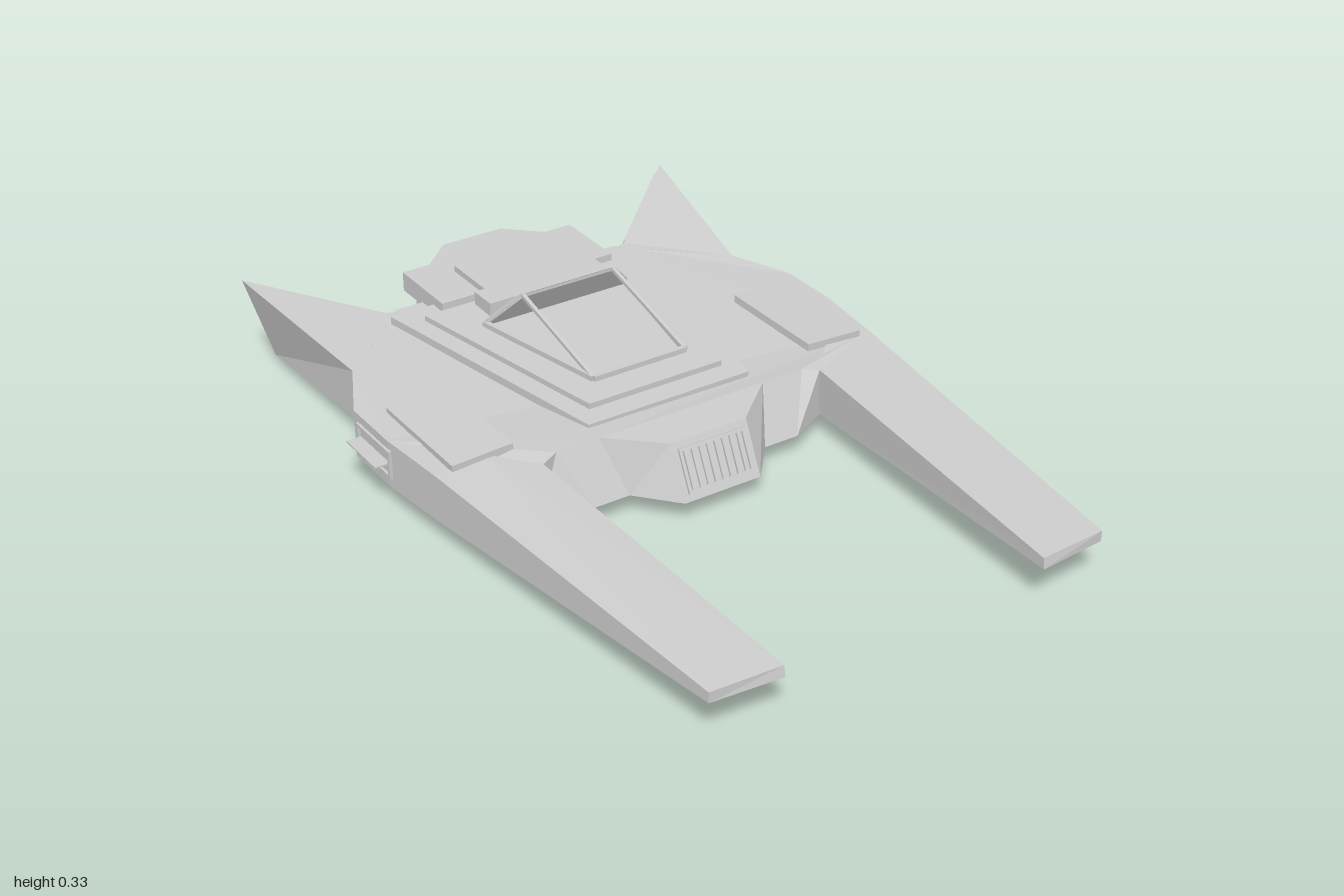
import * as THREE from 'three';

const material = new THREE.MeshStandardMaterial({ color: 0xcccccc, flatShading: true, side: THREE.DoubleSide });
const V = (p) => new THREE.Vector3(...p);

// Solid between a top and a bottom loop of [x, y, z] points
function prism(top, bottom) {
  const flat = (loop) => loop.map(([x, , z]) => new THREE.Vector2(x, -z));
  if (THREE.ShapeUtils.isClockWise(flat(top))) {
    top = [...top].reverse();
    bottom = [...bottom].reverse();
  }
  const out = [];
  for (const [a, b, c] of THREE.ShapeUtils.triangulateShape(flat(top), [])) out.push(top[a], top[b], top[c]);
  for (const [a, b, c] of THREE.ShapeUtils.triangulateShape(flat(bottom), [])) out.push(bottom[a], bottom[c], bottom[b]);
  top.forEach((t, i) => {
    const j = (i + 1) % top.length;
    out.push(bottom[i], bottom[j], top[j], bottom[i], top[j], t);
  });
  const geo = new THREE.BufferGeometry();
  geo.setAttribute('position', new THREE.Float32BufferAttribute(out.flat(), 3));
  geo.computeVertexNormals();
  return geo;
}

const flip = (loop) => loop.map(([x, y, z]) => [-x, y, z]);
const whole = (half) => [...half, ...flip(half).reverse()];

// Symmetric plate from half an outline of [x, z]; heights may vary with z
function slab(half, yTop, yBottom) {
  const at = (y, z) => (typeof y === 'function' ? y(z) : y);
  const loop = (y) => whole(half.map(([x, z]) => [x, at(y, z), z]));
  return prism(loop(yTop), loop(yBottom));
}

export function createModel() {
  const model = new THREE.Group();
  const add = (name, geo, parent = model) => {
    const mesh = new THREE.Mesh(geo, material);
    mesh.name = name;
    parent.add(mesh);
    return mesh;
  };
  const box = (name, size, pos, parent) => {
    const mesh = add(name, new THREE.BoxGeometry(...size), parent);
    mesh.position.set(...pos);
    return mesh;
  };
  // Square bar between two points
  const bar = (name, a, b, t) => {
    const from = V(a), to = V(b);
    const mesh = box(name, [t, t, from.distanceTo(to)], from.clone().lerp(to, 0.5).toArray());
    mesh.lookAt(to);
  };

  // Main hull with a sloping, notched front wall
  const side = [[0.66, 0.19, -0.2], [0.66, 0.19, -0.37], [0.58, 0.2, -0.53], [0.34, 0.205, -0.75]];
  add('hull', prism(
    whole([[0.11, 0.195, 0.195], [0.24, 0.2, 0.085], [0.36, 0.2, 0.085], [0.405, 0.19, 0.1], [0.64, 0.187, 0], ...side]),
    whole([[0.11, 0.06, 0.26], [0.2, 0.06, 0.155], [0.3, 0.06, 0.155], [0.41, 0.06, 0.1], [0.64, 0.063, 0],
      ...side.map(([x, , z]) => [x, 0.062, z])])));

  // Nose grille lying on the sloping front wall
  const grille = new THREE.Group();
  grille.name = 'noseGrille';
  grille.position.set(0, 0.128, 0.228);
  grille.rotation.x = -0.45;
  model.add(grille);
  for (const s of [-1, 1]) {
    box('grilleRail', [0.19, 0.008, 0.012], [0, s * 0.052, 0], grille);
    box('grillePost', [0.008, 0.104, 0.012], [s * 0.091, 0, 0], grille);
  }
  for (let i = 0; i < 8; i++) box('grilleSlat', [0.012, 0.1, 0.012], [-0.077 + i * 0.022, 0, 0], grille);

  for (const s of [1, -1]) {
    const m = (loop) => (s > 0 ? loop : flip(loop));

    // Long tapering front arms
    add('frontArm', prism(
      m([[0.405, 0.19, 0.1], [0.36, 0.14, 0.995], [0.545, 0.14, 0.985], [0.64, 0.187, 0], [0.5, 0.197, 0]]),
      m([[0.41, 0.06, 0.1], [0.36, 0.112, 1], [0.545, 0.112, 0.985], [0.64, 0.063, 0], [0.5, 0.06, 0]])));

    // Flared tail fins with a framed rear face
    const finTop = m([[0.58, 0.2, -0.53], [0.655, 0.275, -1], [0.37, 0.205, -0.75], [0.34, 0.205, -0.74]]);
    const finBottom = m([[0.58, 0.062, -0.53], [0.58, 0.03, -1], [0.36, 0.06, -0.75], [0.34, 0.062, -0.74]]);
    add('tailFin', prism(finTop, finBottom));
    const rear = [finTop[1], finTop[2], finBottom[2], finBottom[1]].map(V);
    const mid = rear.reduce((sum, p) => sum.add(p), new THREE.Vector3()).multiplyScalar(0.25);
    const inner = rear.map((p) => p.clone().lerp(mid, 0.14).toArray());
    inner.forEach((p, i) => bar('finFrame', p, inner[(i + 1) % 4], 0.01));

    // Shoulder pads
    const pad = box('shoulderPad', [0.165, 0.02, 0.325], [s * 0.517, 0.2, -0.15]);
    pad.rotation.z = -s * 0.05;

    // Side vents: frame with a thin blade
    for (const k of [-1, 1]) {
      box('ventRail', [0.014, 0.008, 0.16], [s * 0.66, 0.13 + k * 0.034, -0.265]);
      box('ventPost', [0.014, 0.076, 0.008], [s * 0.66, 0.13, -0.265 + k * 0.08]);
    }
    box('ventBlade', [0.05, 0.004, 0.15], [s * 0.675, 0.13, -0.265]);
  }

  // Stepped deck plates, rising slightly towards the back
  const rise = (y) => (z) => y - z * 0.025;
  add('lowerDeck', slab([[0.235, 0.03], [0.385, -0.69]], rise(0.207), 0.18));
  add('upperDeck', slab([[0.195, -0.03], [0.32, -0.625]], rise(0.222), 0.19));

  // Open canopy: solid back panel and a frame of bars
  const peak = [0.135, 0.325, -0.44], back = [0.215, 0.24, -0.5], front = [0.135, 0.24, -0.105];
  add('canopyBack', prism(
    whole([[0.135, 0.33, -0.434], [0.135, 0.33, -0.446]]),
    whole([[0.22, 0.235, -0.495], [0.22, 0.235, -0.508]])));
  for (const s of [1, -1]) {
    const [p, b, f] = [peak, back, front].map(([x, y, z]) => [s * x, y, z]);
    bar('canopyPillar', p, f, 0.01);
    bar('canopySill', b, f, 0.014);
    bar('canopyCorner', p, b, 0.01);
  }
  bar('canopyRidge', peak, flip([peak])[0], 0.01);
  bar('canopyFrontSill', front, flip([front])[0], 0.014);

  // Rear engine block: cap, core, lower lip and slats
  const cap = [[0.26, -0.64], [0.26, -0.855], [0.18, -0.855], [0.09, -0.94]];
  const core = [[0.235, -0.64], [0.235, -0.835], [0.165, -0.835], [0.08, -0.91]];
  add('engineCap', slab(cap, 0.248, 0.195));
  add('engineCore', slab(core, 0.2, 0.05));
  add('engineLip', slab(cap.map(([x, z]) => [x * 0.97, z + 0.01]), 0.075, 0.04));
  const slatPath = new THREE.CurvePath();
  const path = [[-0.165, -0.845], [-0.085, -0.918], [0.085, -0.918], [0.165, -0.845]];
  for (let i = 0; i < 3; i++) slatPath.add(new THREE.LineCurve(new THREE.Vector2(...path[i]), new THREE.Vector2(...path[i + 1])));
  for (let i = 0; i <= 12; i++) {
    const p = slatPath.getPointAt(i / 12);
    box('engineSlat', [0.014, 0.125, 0.025], [p.x, 0.135, p.y]);
  }
  box('engineHatch', [0.285, 0.03, 0.175], [0, 0.25, -0.697]);
  box('hatchStep', [0.36, 0.05, 0.08], [0, 0.248, -0.57]);

  // Belly disc and sloping rear keel
  add('bellyDisc', new THREE.CylinderGeometry(0.32, 0.305, 0.04, 48)).position.set(0, 0.045, -0.29);
  add('rearKeel', slab([[0.22, -0.5], [0.22, -0.83]], 0.06, (z) => 0.035 + (z + 0.5) * 0.106));

  return model;
}
